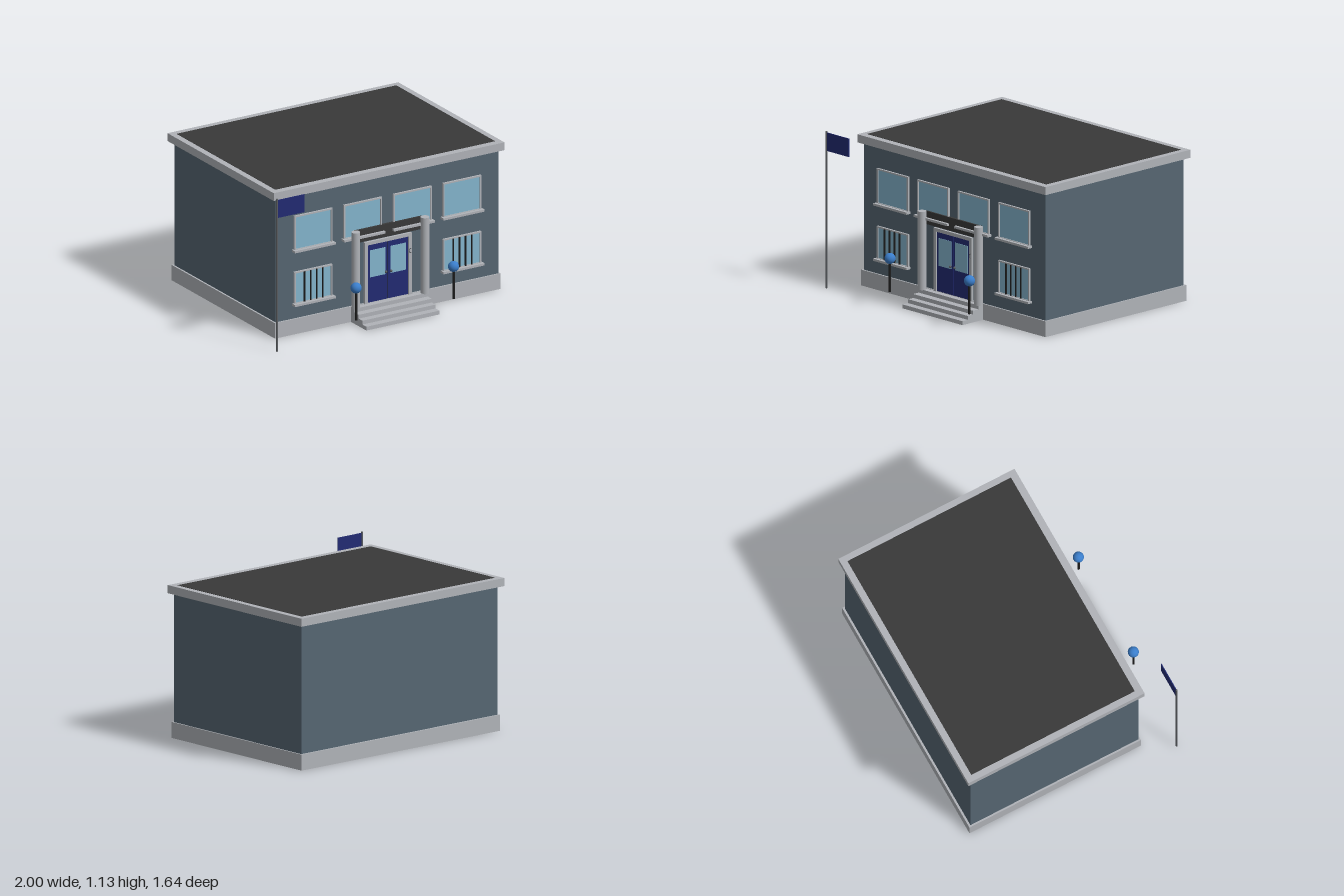
import * as THREE from 'three';

const mat = (name, color) => {
  const m = new THREE.MeshStandardMaterial({ color });
  m.name = name;
  return m;
};

export function createModel() {
  const root = new THREE.Group();
  root.name = 'building';
  const wall = mat('slate wall', 0x566672);
  const stone = mat('light stone', 0xb0b3b8);
  const roofing = mat('dark roofing', 0x393939);
  const navy = mat('navy', 0x222b73);
  const glass = mat('window glass', 0x84b5cd);
  const lampBlue = mat('lamp blue', 0x3b7ecb);
  const iron = mat('black iron', 0x1e1e1e);
  const steel = mat('steel', 0x5c5f63);

  const add = (name, geo, m, x, y, z, parent = root) => {
    const mesh = new THREE.Mesh(geo, m);
    mesh.name = name;
    mesh.position.set(x, y, z);
    parent.add(mesh);
    return mesh;
  };
  // Box given by its min and max on each axis
  const box = (name, m, x0, x1, y0, y1, z0, z1, parent = root) =>
    add(name, new THREE.BoxGeometry(x1 - x0, y1 - y0, z1 - z0), m,
      (x0 + x1) / 2, (y0 + y1) / 2, (z0 + z1) / 2, parent);
  const post = (name, m, r, x, y0, y1, z, parent = root, sides = 24) =>
    add(name, new THREE.CylinderGeometry(r, r, y1 - y0, sides), m, x, (y0 + y1) / 2, z, parent);
  // Rectangular frame of four bars; the bottom bar is optional
  const frame = (name, x0, x1, y0, y1, z0, z1, t, bottom, parent = root) => {
    const g = new THREE.Group();
    g.name = name;
    box('frameLeft', stone, x0, x0 + t, y0, y1, z0, z1, g);
    box('frameRight', stone, x1 - t, x1, y0, y1, z0, z1, g);
    box('frameTop', stone, x0 + t, x1 - t, y1 - t, y1, z0, z1, g);
    if (bottom) box('frameBottom', stone, x0 + t, x1 - t, y0, y0 + t, z0, z1, g);
    parent.add(g);
  };

  // Main volume, plinth and roof
  box('walls', wall, -0.86, 0.965, 0, 1.04, -0.785, 0.543);
  box('plinth', stone, -0.873, 0.975, 0.001, 0.115, -0.8, 0.555);
  box('cornice', stone, -0.894, 0.995, 1.032, 1.09, -0.82, 0.573);
  box('roofSurface', roofing, -0.848, 0.949, 1.085, 1.092, -0.772, 0.52);

  // Windows: four above, two barred below
  const makeWindow = (cx, y0, y1, barred) => {
    const g = new THREE.Group();
    g.name = barred ? 'barredWindow' : 'upperWindow';
    const x0 = cx - 0.156, x1 = cx + 0.156;
    box('pane', glass, x0 + 0.008, x1 - 0.008, y0, y1 - 0.008, 0.54, 0.549, g);
    frame('windowFrame', x0, x1, y0, y1, 0.54, 0.558, 0.011, true, g);
    box('sill', stone, cx - 0.168, cx + 0.168, y0 - 0.008, y0 + 0.008, 0.54, 0.582, g);
    if (barred) {
      for (let i = 0; i < 4; i++)
        post('windowBar', iron, 0.006, cx - 0.075 + i * 0.05, y0 + 0.012, y1 - 0.008, 0.56, g, 10);
    }
    root.add(g);
  };
  for (let i = 0; i < 4; i++) makeWindow(-0.559 + i * 0.406, 0.62, 0.878, false);
  for (const cx of [-0.559, 0.659]) makeWindow(cx, 0.221, 0.462, true);

  // Entrance: steps, columns and dark lintel
  const depths = [0.754, 0.702, 0.653, 0.6];
  depths.forEach((z, i) =>
    box('step', stone, -0.249, 0.35, i * 0.028, (i + 1) * 0.028, 0.5, z));
  for (const x of [-0.231, 0.335]) post('column', stone, 0.031, x, 0.11, 0.674, 0.586);
  box('lintel', roofing, -0.231, 0.335, 0.578, 0.673, 0.54, 0.562);

  // Double door
  frame('doorFrame', -0.142, 0.243, 0.112, 0.568, 0.54, 0.562, 0.025, false);
  for (const s of [-1, 1]) {
    const door = new THREE.Group();
    door.name = s < 0 ? 'rightDoor' : 'leftDoor';
    door.position.x = 0.051;
    const span = (a, b) => (s > 0 ? [a, b] : [-b, -a]);
    box('doorLeaf', navy, ...span(0.002, 0.166), 0.112, 0.545, 0.54, 0.554, door);
    box('doorPane', glass, ...span(0.021, 0.146), 0.3, 0.5, 0.55, 0.557, door);
    add('doorKnob', new THREE.SphereGeometry(0.009, 12, 8), steel, s * 0.021, 0.32, 0.565, door);
    root.add(door);
  }
  box('doorGap', iron, 0.049, 0.053, 0.112, 0.545, 0.54, 0.552);
  // Small hook on the door frame
  const hook = add('frameHook', new THREE.TorusGeometry(0.016, 0.003, 6, 12, Math.PI), steel, 0.236, 0.437, 0.564);
  hook.rotation.z = Math.PI / 2;

  // Globe lamps
  for (const x of [-0.35, 0.448]) {
    const lamp = new THREE.Group();
    lamp.name = 'lamp';
    post('lampPost', iron, 0.008, x, 0.105, 0.32, 0.782, lamp, 12);
    add('lampGlobe', new THREE.SphereGeometry(0.039, 24, 16), lampBlue, x, 0.345, 0.78, lamp);
    root.add(lamp);
  }

  // Flag on its pole
  post('flagPole', steel, 0.007, -0.993, 0, 1.131, 0.773, root, 12);
  box('flag', navy, -0.99, -0.768, 0.99, 1.122, 0.77, 0.776);

  return root;
}
